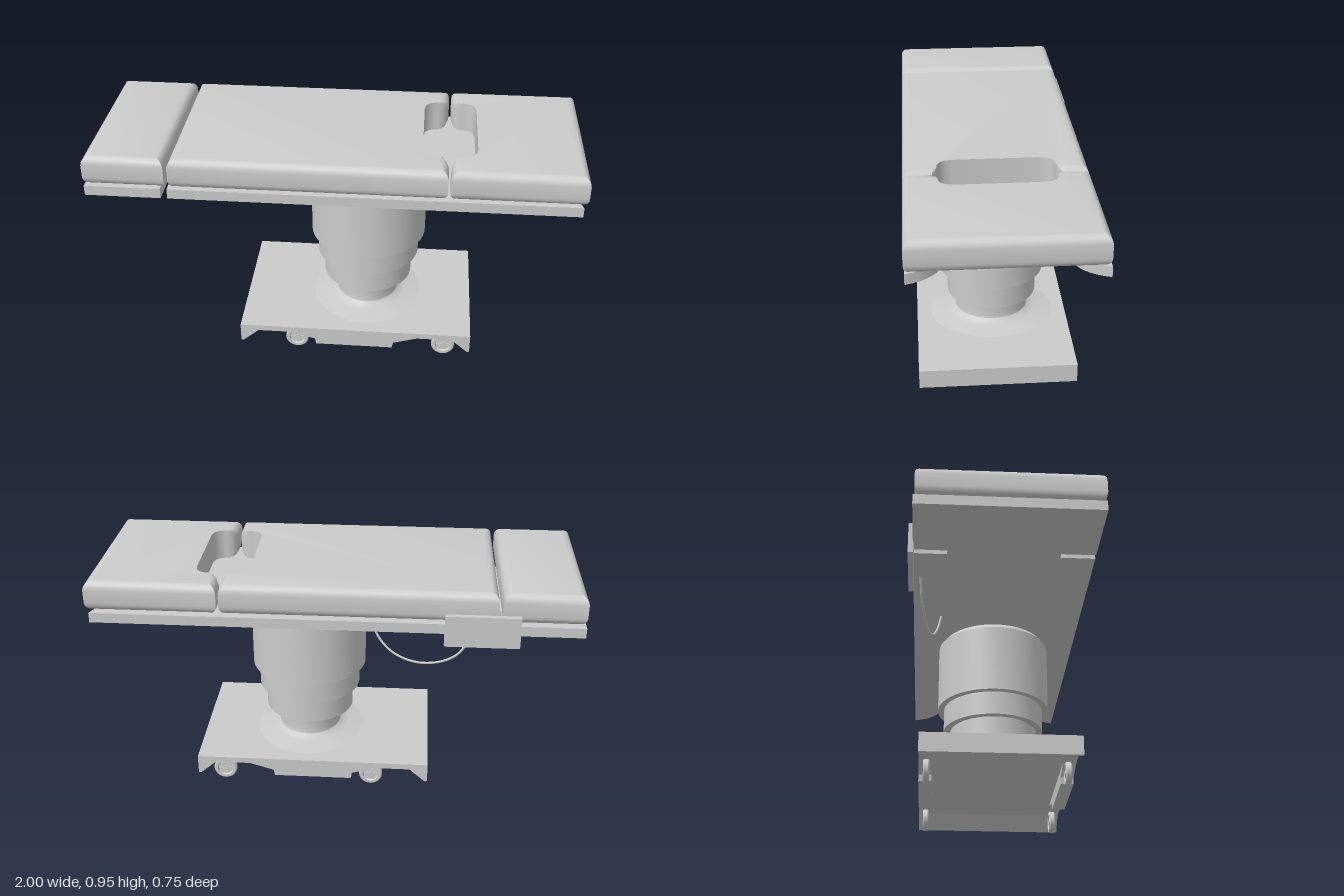
import * as THREE from 'three';
import { toCreasedNormals } from 'three/addons/utils/BufferGeometryUtils.js';

const grey = new THREE.MeshStandardMaterial({ color: 0xcccccc });
const CX = 0.128, CZ = 0.008; // column axis
const Z0 = -0.35, Z1 = 0.373; // cushion depth

function add(parent, name, geometry, x = 0, y = 0, z = 0) {
  const mesh = new THREE.Mesh(geometry, grey);
  mesh.name = name;
  mesh.position.set(x, y, z);
  parent.add(mesh);
  return mesh;
}

const shapeOf = (pts) => new THREE.Shape(pts.map(([x, y]) => new THREE.Vector2(x, y)));

function lathe(pts, segments = 48) {
  return toCreasedNormals(new THREE.LatheGeometry(pts.map(([r, y]) => new THREE.Vector2(r, y)), segments), 0.6);
}

// Stacked outlines: outer edges are rounded, points inside the rectangle stay put
function cushionGeometry(outline, x0, x1, y0 = 0.82, y1 = 0.95, r = 0.038) {
  const steps = 5, levels = [];
  for (let i = 0; i <= steps; i++) {
    const a = (i / steps) * Math.PI / 2;
    levels.push([y0 + r * (1 - Math.cos(a)), r * (1 - Math.sin(a))]);
  }
  for (let i = steps; i >= 0; i--) levels.push([y0 + y1 - levels[i][0], levels[i][1]]);
  const clamp = THREE.MathUtils.clamp, n = outline.length;
  const pos = [], index = [];
  const ring = (d) => outline.map(([x, z]) => new THREE.Vector2(clamp(x, x0 + d, x1 - d), clamp(z, Z0 + d, Z1 - d)));
  levels.forEach(([y, d]) => ring(d).forEach((p) => pos.push(p.x, y, p.y)));
  for (let l = 0; l < levels.length - 1; l++) {
    for (let i = 0; i < n; i++) {
      const a = l * n + i, b = l * n + (i + 1) % n;
      index.push(a, b + n, b, a, a + n, b + n);
    }
  }
  const top = (levels.length - 1) * n;
  for (const [a, b, c] of THREE.ShapeUtils.triangulateShape(ring(r), [])) {
    index.push(a, b, c, top + a, top + c, top + b);
  }
  const g = new THREE.BufferGeometry();
  g.setAttribute('position', new THREE.Float32BufferAttribute(pos, 3));
  g.setIndex(index);
  return toCreasedNormals(g, 0.6);
}

function addCushions(group) {
  // Half of the opening shared by the middle and end cushions
  const half = [[0.455, -0.27], [0.445, -0.25], [0.43, -0.237], [0.41, -0.23], [0.395, -0.23],
    [0.372, -0.22], [0.356, -0.2], [0.35, -0.17]];
  const notch = [...half, ...half.map(([x, z]) => [x, -z]).reverse()].map(([x, z]) => [x, z + 0.008]);
  const mirrored = notch.map(([x, z]) => [0.92 - x, z]).reverse();
  add(group, 'headCushion', cushionGeometry([[-1, Z0], [-0.67, Z0], [-0.67, Z1], [-1, Z1]], -1, -0.67));
  add(group, 'middleCushion', cushionGeometry([[-0.655, Z0], [0.455, Z0], ...notch, [0.455, Z1], [-0.655, Z1]], -0.655, 0.455));
  add(group, 'endCushion', cushionGeometry([[1, Z0], [1, Z1], [0.465, Z1], ...mirrored, [0.465, Z0]], 0.465, 1));
}

// Support plate with a curved bay at one end and two slits near the other
function addPlate(group) {
  const s = new THREE.Shape();
  s.moveTo(-1, -0.355);
  s.lineTo(-0.69, -0.355); s.lineTo(-0.69, -0.22); s.lineTo(-0.663, -0.22); s.lineTo(-0.663, -0.355);
  s.lineTo(0.985, -0.355);
  s.quadraticCurveTo(0.95, -0.24, 0.85, -0.225);
  s.lineTo(0.7, -0.22);
  s.quadraticCurveTo(0.6, -0.19, 0.585, -0.08);
  s.lineTo(0.585, 0.09);
  s.quadraticCurveTo(0.6, 0.2, 0.7, 0.23);
  s.lineTo(0.85, 0.235);
  s.quadraticCurveTo(0.95, 0.25, 0.985, 0.37);
  s.lineTo(-0.663, 0.37); s.lineTo(-0.663, 0.23); s.lineTo(-0.69, 0.23); s.lineTo(-0.69, 0.37);
  s.lineTo(-1, 0.37);
  const g = new THREE.ExtrudeGeometry(s, { depth: 0.042, bevelEnabled: false, curveSegments: 8 });
  g.rotateX(Math.PI / 2);
  add(group, 'supportPlate', toCreasedNormals(g, 0.5), 0, 0.817, 0);
}

// Telescoping column
function addColumn(group) {
  add(group, 'columnTop', lathe([[0, 0.45], [0.247, 0.45], [0.247, 0.752], [0.225, 0.778], [0, 0.778]]), CX, 0, CZ);
  [[0.22, 0.345, 0.46], [0.191, 0.235, 0.355]].forEach(([r, y0, y1], i) =>
    add(group, 'columnStage' + (i + 1), lathe([[0, y0], [r, y0], [r, y1], [0, y1]]), CX, 0, CZ));
  const neck = add(group, 'columnNeck', lathe([[0.28, 0.118], [0.19, 0.133], [0.166, 0.139], [0.154, 0.15],
    [0.151, 0.165], [0.16, 0.245]]), CX, 0, CZ);
  neck.scale.x = 0.88;
}

function addBase(group) {
  const base = new THREE.Group();
  base.name = 'base';
  group.add(base);
  const z0 = -0.315, z1 = 0.335, mid = (z0 + z1) / 2;
  add(base, 'baseDeck', new THREE.BoxGeometry(0.99, 0.025, z1 - z0), 0.0925, 0.1075, mid);
  const bar = (name, pts, from, to) => add(base, name,
    new THREE.ExtrudeGeometry(shapeOf(pts), { depth: to - from, bevelEnabled: false }), 0, 0, from);
  // Wedge lips on both ends
  bar('endLip', [[-0.405, 0.12], [-0.405, 0.038], [-0.395, 0.036], [-0.325, 0.097], [-0.325, 0.12]], z0, z1);
  bar('endLip', [[0.59, 0.12], [0.51, 0.12], [0.51, 0.097], [0.58, 0.036], [0.59, 0.038]], z0, z1);
  // Hanging skirts between the wheels
  const skirt = [[-0.2, 0.1], [-0.08, 0.065], [-0.075, 0.038], [0.255, 0.038], [0.26, 0.065], [0.38, 0.1]];
  bar('frontSkirt', skirt, z1 - 0.055, z1);
  bar('backSkirt', skirt, z0, z0 + 0.055);
}

function addWheels(group) {
  const tyre = lathe([[0, -0.006], [0.03, -0.006], [0.034, -0.013], [0.045, -0.013], [0.05, -0.008],
    [0.05, 0.008], [0.045, 0.013], [0.034, 0.013], [0.03, 0.006], [0, 0.006]], 24).rotateX(Math.PI / 2);
  const hub = new THREE.CylinderGeometry(0.012, 0.012, 0.026, 12).rotateX(Math.PI / 2);
  const spoke = new THREE.BoxGeometry(0.06, 0.008, 0.018);
  for (const x of [-0.16, 0.475]) {
    for (const z of [0.301, -0.283]) {
      const wheel = new THREE.Group();
      wheel.name = 'wheel';
      wheel.position.set(x, 0.05, z);
      add(wheel, 'tyre', tyre);
      add(wheel, 'hub', hub);
      for (let i = 0; i < 3; i++) add(wheel, 'spoke', spoke).rotation.z = i * Math.PI / 3;
      group.add(wheel);
    }
  }
}

// Side control box and its hanging cable
function addControl(group) {
  add(group, 'controlBox', new THREE.BoxGeometry(0.3, 0.132, 0.022), -0.595, 0.794, -0.363);
  const path = [[-0.155, 0.778, -0.235], [-0.175, 0.71, -0.248], [-0.24, 0.64, -0.268], [-0.335, 0.608, -0.288],
    [-0.43, 0.62, -0.304], [-0.5, 0.662, -0.317], [-0.55, 0.737, -0.324]];
  const curve = new THREE.CatmullRomCurve3(path.map((p) => new THREE.Vector3(...p)));
  add(group, 'cable', new THREE.TubeGeometry(curve, 32, 0.005, 8));
}

export function createModel() {
  const group = new THREE.Group();
  group.name = 'operatingTable';
  [addCushions, addPlate, addColumn, addBase, addWheels, addControl].forEach((build) => build(group));
  return group;
}
